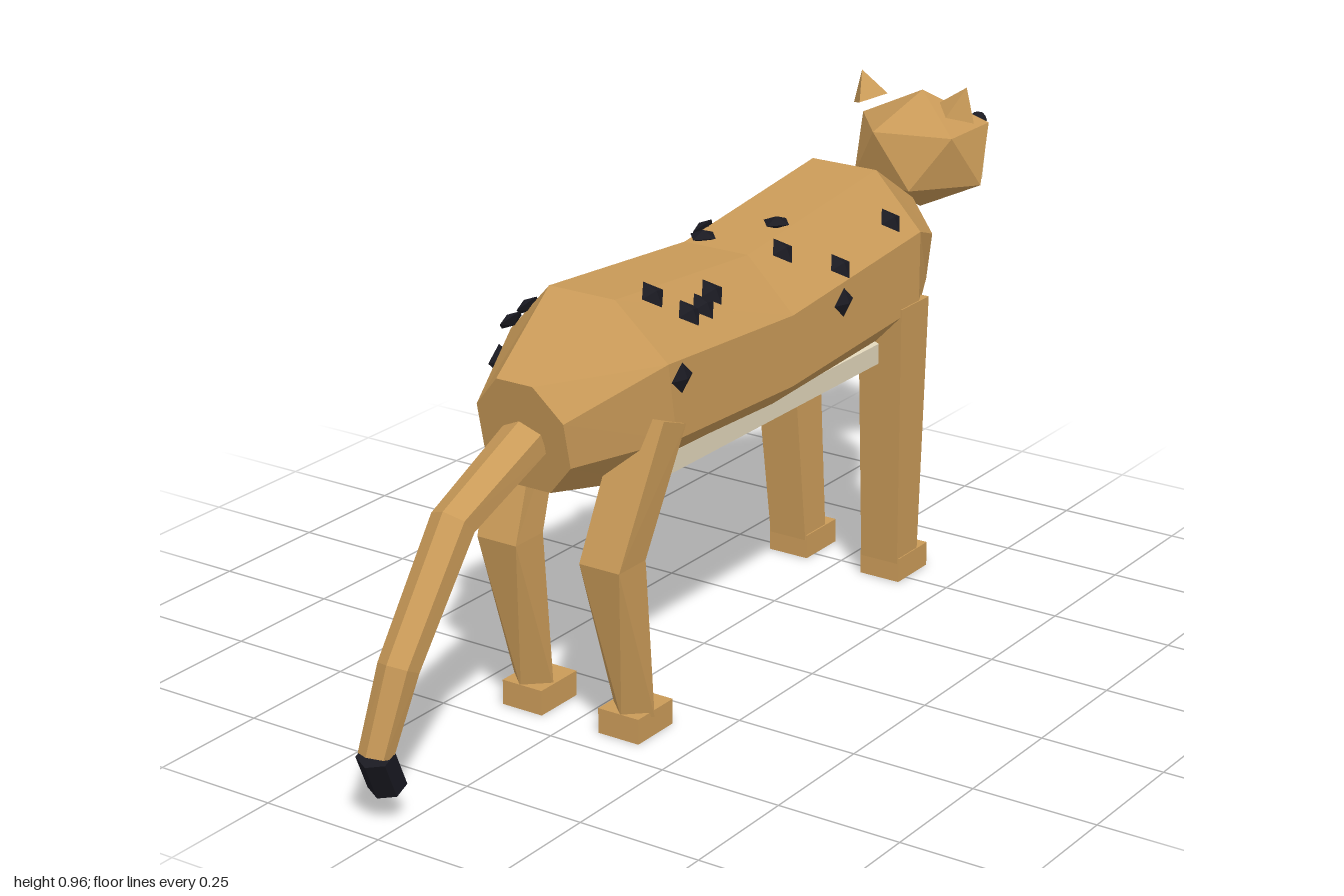
import * as THREE from 'three';
import { ConvexGeometry } from 'three/addons/geometries/ConvexGeometry.js';

const paint = (name, color) => {
  const m = new THREE.MeshStandardMaterial({ color, flatShading: true });
  m.name = name;
  return m;
};

// Skin over n-sided rings [x, y, z, halfX, halfU, tilt, spin]; tilt turns each ring about x
function loft(rings, n) {
  const pos = [];
  rings.forEach(([x, y, z, rx, ru, tilt, spin = Math.PI / n]) => {
    for (let i = 0; i < n; i++) {
      const a = spin + (i / n) * Math.PI * 2, k = ru * Math.sin(a);
      pos.push(x + rx * Math.cos(a), y + k * Math.cos(tilt), z + k * Math.sin(tilt));
    }
  });
  const idx = [];
  for (let r = 0; r < rings.length - 1; r++) {
    for (let i = 0; i < n; i++) {
      const a = r * n + i, b = r * n + ((i + 1) % n);
      idx.push(a, b, b + n, a, b + n, a + n);
    }
  }
  const last = (rings.length - 1) * n;
  for (let i = 1; i < n - 1; i++) {
    idx.push(0, i + 1, i, last, last + i, last + i + 1);
  }
  const g = new THREE.BufferGeometry();
  g.setAttribute('position', new THREE.Float32BufferAttribute(pos, 3));
  g.setIndex(idx);
  const flat = g.toNonIndexed();
  flat.computeVertexNormals();
  return flat;
}

// Twenty-sided ball with a corner on top and one ring corner on the -x side
function icoBall(rx, ry, rz) {
  const pts = [new THREE.Vector3(0, ry, 0), new THREE.Vector3(0, -ry, 0)];
  for (let k = 0; k < 5; k++) {
    const a = (k / 5) * Math.PI * 2, c = 0.894 * Math.cos(a), s = 0.894 * Math.sin(a);
    pts.push(new THREE.Vector3(-c * rx, 0.447 * ry, s * rz));
    pts.push(new THREE.Vector3(c * rx, -0.447 * ry, s * rz));
  }
  return new ConvexGeometry(pts);
}

export function createModel() {
  const group = new THREE.Group();
  const fur = paint('tan fur', 0xc99a58);
  const cream = paint('cream fur', 0xded3b8);
  const black = paint('black', 0x1a1a22);
  const add = (name, geo, mat, x = 0, y = 0, z = 0) => {
    const m = new THREE.Mesh(geo, mat);
    m.name = name;
    m.position.set(x, y, z);
    group.add(m);
    return m;
  };
  const H = Math.PI / 2;

  // Eight-sided body, chest to rump (radii reach the ring corners)
  add('body', loft([
    [0, 0.63, -0.665, 0.103, 0.119, -0.22],
    [0, 0.665, -0.49, 0.192, 0.2, 0],
    [0, 0.626, -0.04, 0.188, 0.184, 0],
    [0, 0.645, 0.355, 0.189, 0.2, 0.17],
    [0, 0.61, 0.565, 0.103, 0.119, 0.22],
  ], 8), fur);

  // Pale belly slab
  add('belly', loft([
    [0, 0.5, -0.42, 0.14, 0.054, 0],
    [0, 0.5, 0.345, 0.14, 0.054, 0],
  ], 8), cream);

  // Legs and paws
  for (const s of [1, -1]) {
    const side = s > 0 ? 'left' : 'right';
    add(side + 'FrontLeg', loft([
      [s * 0.13, 0.6, -0.472, 0.07, 0.073, H],
      [s * 0.11, 0.04, -0.506, 0.06, 0.054, H],
    ], 4), fur);
    add(side + 'HindLeg', loft([
      [s * 0.135, 0.61, 0.36, 0.068, 0.052, H - 0.35],
      [s * 0.115, 0.36, 0.46, 0.062, 0.058, H],
      [s * 0.115, 0.04, 0.395, 0.045, 0.042, H, 0],
    ], 4), fur);
    for (const [part, z] of [['FrontPaw', -0.525], ['HindPaw', 0.385]]) {
      add(side + part, new THREE.BoxGeometry(0.09, 0.05, 0.11), fur, s * 0.11, 0.025, z);
    }
  }

  // Drooping tail with dark tip
  add('tail', loft([
    [0.003, 0.605, 0.565, 0.048, 0.042, 0.4],
    [0, 0.515, 0.77, 0.042, 0.04, 0.75],
    [0, 0.3, 0.93, 0.038, 0.036, 1.1],
    [-0.02, 0.145, 0.975, 0.033, 0.028, 1.3],
  ], 6), fur);
  add('tailTip', loft([
    [-0.023, 0.145, 0.972, 0.038, 0.032, 2.0],
    [-0.035, 0.065, 0.928, 0.038, 0.032, 2.0],
  ], 6), black);

  // Head
  add('head', icoBall(0.157, 0.123, 0.14), fur, 0, 0.811, -0.785);
  add('muzzle', icoBall(0.078, 0.05, 0.06), cream, 0, 0.748, -0.915);
  add('nose', new THREE.IcosahedronGeometry(0.023, 1), black, 0, 0.778, -0.977);
  for (const s of [1, -1]) {
    const side = s > 0 ? 'left' : 'right';
    add(side + 'Eye', new THREE.IcosahedronGeometry(0.018, 1), black, s * 0.062, 0.852, -0.905);
    const ear = add(side + 'Ear', new THREE.ConeGeometry(0.043, 0.06, 4), fur, s * 0.112, 0.937, -0.75);
    ear.rotation.z = -s * 0.37;
  }

  // Coat spots: x, y, z, lean (0 on the flank, 45 on the shoulder slope, 90 on the back)
  const spots = [
    [0.178, 0.685, 0.33, 0], [0.09, 0.815, 0.295, 45], [0.135, 0.775, 0.245, 45],
    [0.135, 0.775, 0.2, 45], [0.12, 0.785, 0.15, 45], [0.05, 0.822, -0.17, 90],
    [0.11, 0.795, -0.1, 45], [0.16, 0.74, -0.225, 45], [0.178, 0.675, -0.21, 0],
    [0.145, 0.775, -0.43, 45],
    [-0.178, 0.68, -0.44, 0], [-0.155, 0.755, -0.33, 45], [-0.178, 0.67, -0.1, 0],
    [-0.085, 0.8, -0.12, 45], [-0.135, 0.745, -0.06, 45], [-0.05, 0.803, -0.07, 90],
    [-0.165, 0.715, 0, 45], [-0.178, 0.67, 0.05, 0], [-0.13, 0.75, 0.05, 45],
    [-0.11, 0.77, 0.045, 45], [-0.155, 0.735, 0.16, 45], [-0.178, 0.67, 0.4, 0],
    [-0.15, 0.75, 0.4, 45], [-0.13, 0.775, 0.375, 45],
  ];
  const spotGeo = new THREE.OctahedronGeometry(1).scale(0.012, 0.029, 0.033);
  for (const [x, y, z, lean] of spots) {
    const spot = add('spot', spotGeo, black, x, y, z);
    spot.rotation.z = Math.sign(x) * THREE.MathUtils.degToRad(lean);
  }
  return group;
}
